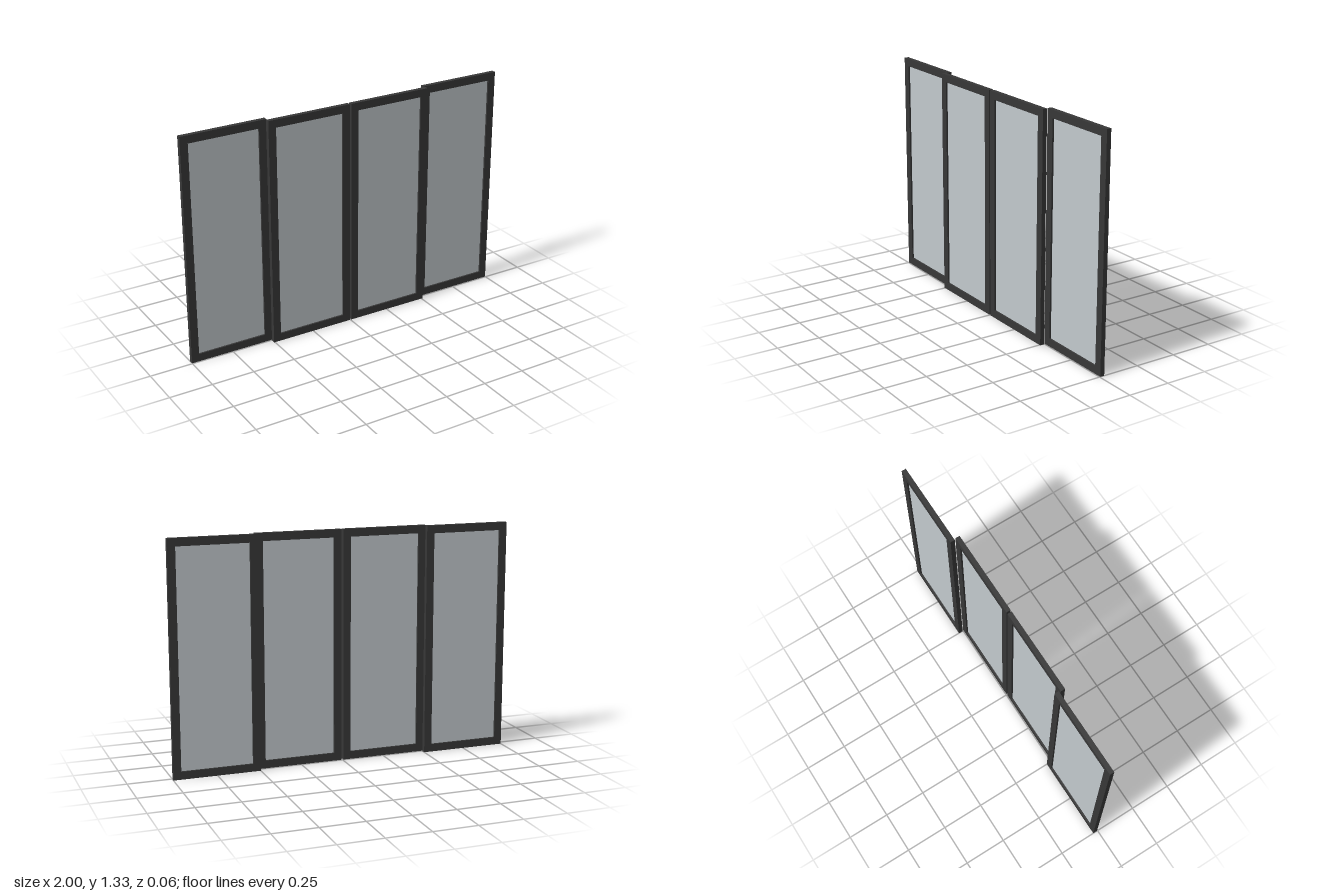
import * as THREE from 'three';

const W = 0.501, H = 1.333, BORDER = 0.045, DEPTH = 0.026;

const frameMaterial = new THREE.MeshStandardMaterial({ color: 0x383838 });
const glassMaterial = new THREE.MeshStandardMaterial({ color: 0xc3cace });

// Counter-clockwise or clockwise rectangle centred on x = 0, standing on y = 0
function rectangle(target, inset) {
  const x = W / 2 - inset;
  target.moveTo(-x, inset);
  target.lineTo(x, inset);
  target.lineTo(x, H - inset);
  target.lineTo(-x, H - inset);
  target.closePath();
  return target;
}

// One door panel: a rectangular frame around a thin pane
function createPanel(name, x, z) {
  const panel = new THREE.Group();
  panel.name = name;

  const outline = rectangle(new THREE.Shape(), 0);
  outline.holes.push(rectangle(new THREE.Path(), BORDER));
  const frameGeometry = new THREE.ExtrudeGeometry(outline, { depth: DEPTH, bevelEnabled: false });
  frameGeometry.translate(0, 0, -DEPTH / 2);
  const frame = new THREE.Mesh(frameGeometry, frameMaterial);
  frame.name = 'frame';

  const pane = new THREE.Mesh(
    new THREE.BoxGeometry(W - 2 * BORDER, H - 2 * BORDER, 0.006),
    glassMaterial
  );
  pane.name = 'glassPane';
  pane.position.y = H / 2;

  panel.add(frame, pane);
  panel.position.set(x, 0, z);
  return panel;
}

export function createModel() {
  const model = new THREE.Group();
  model.name = 'slidingDoor';

  // Outer fixed panels run on the back track, inner sliding panels on the front one
  for (const [side, s] of [['left', 1], ['right', -1]]) {
    model.add(createPanel(side + 'FixedPanel', s * (1 - W / 2), -0.017));
    model.add(createPanel(side + 'SlidingPanel', s * (0.005 + W / 2), 0.017));
  }
  return model;
}
